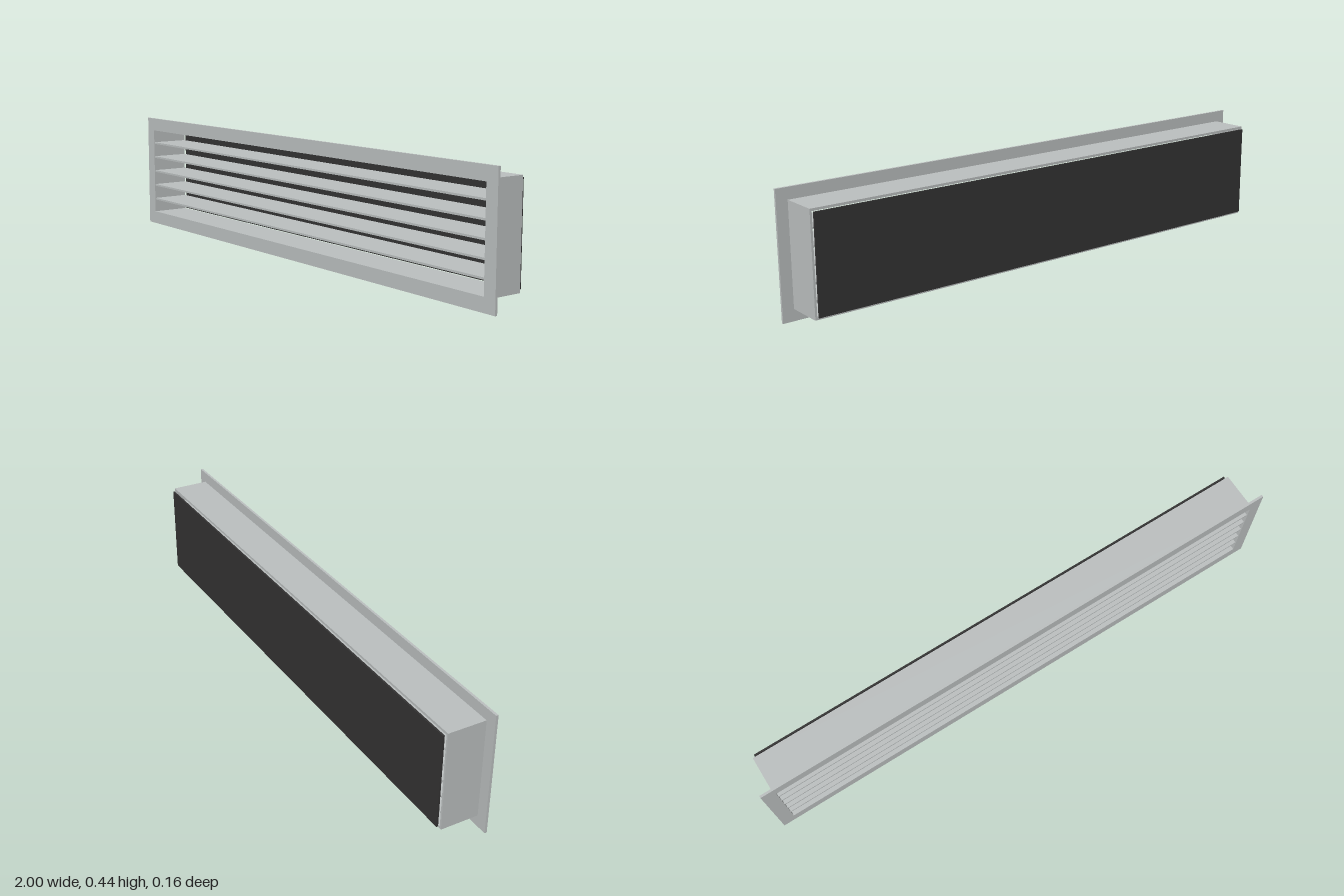
import * as THREE from 'three';

const HEIGHT = 0.435, MID_Y = 0.218;

// Rectangular ring extruded along z from zBack to zFront
function ring(outerW, outerH, innerW, innerH, zBack, zFront) {
  const rect = (P, w, h) => {
    const p = new P();
    p.moveTo(-w / 2, -h / 2);
    p.lineTo(w / 2, -h / 2);
    p.lineTo(w / 2, h / 2);
    p.lineTo(-w / 2, h / 2);
    p.closePath();
    return p;
  };
  const shape = rect(THREE.Shape, outerW, outerH);
  shape.holes.push(rect(THREE.Path, innerW, innerH));
  const geo = new THREE.ExtrudeGeometry(shape, { depth: zFront - zBack, bevelEnabled: false });
  return geo.translate(0, MID_Y, zBack);
}

export function createModel() {
  const group = new THREE.Group();
  const metal = new THREE.MeshStandardMaterial({ color: 0xbcc0c0 });
  metal.name = 'grey metal';
  const dark = new THREE.MeshStandardMaterial({ color: 0x343333 });
  dark.name = 'dark backing';

  const add = (name, geo, mat) => {
    const mesh = new THREE.Mesh(geo, mat);
    mesh.name = name;
    group.add(mesh);
    return mesh;
  };

  // Front flange and the duct behind it
  const openW = 1.906, openH = 0.337;
  add('frontFlange', ring(2, HEIGHT, openW, openH, 0.069, 0.0775), metal);
  add('ductBody', ring(1.92, 0.354, openW, openH, -0.066, 0.069), metal);

  // Horizontal louvre slats
  const slats = new THREE.Group();
  slats.name = 'slats';
  group.add(slats);
  const slatGeo = new THREE.BoxGeometry(openW, 0.007, 0.141);
  for (let i = -2; i <= 2; i++) {
    const slat = new THREE.Mesh(slatGeo, metal);
    slat.name = 'slat' + (i + 3);
    slat.position.set(0, MID_Y + i * 0.058, 0.0045);
    slats.add(slat);
  }

  // Backing plate, set just behind the duct
  const back = add('backPlate', new THREE.BoxGeometry(1.904, 0.336, 0.006), dark);
  back.position.set(0, MID_Y, -0.0745);

  return group;
}
